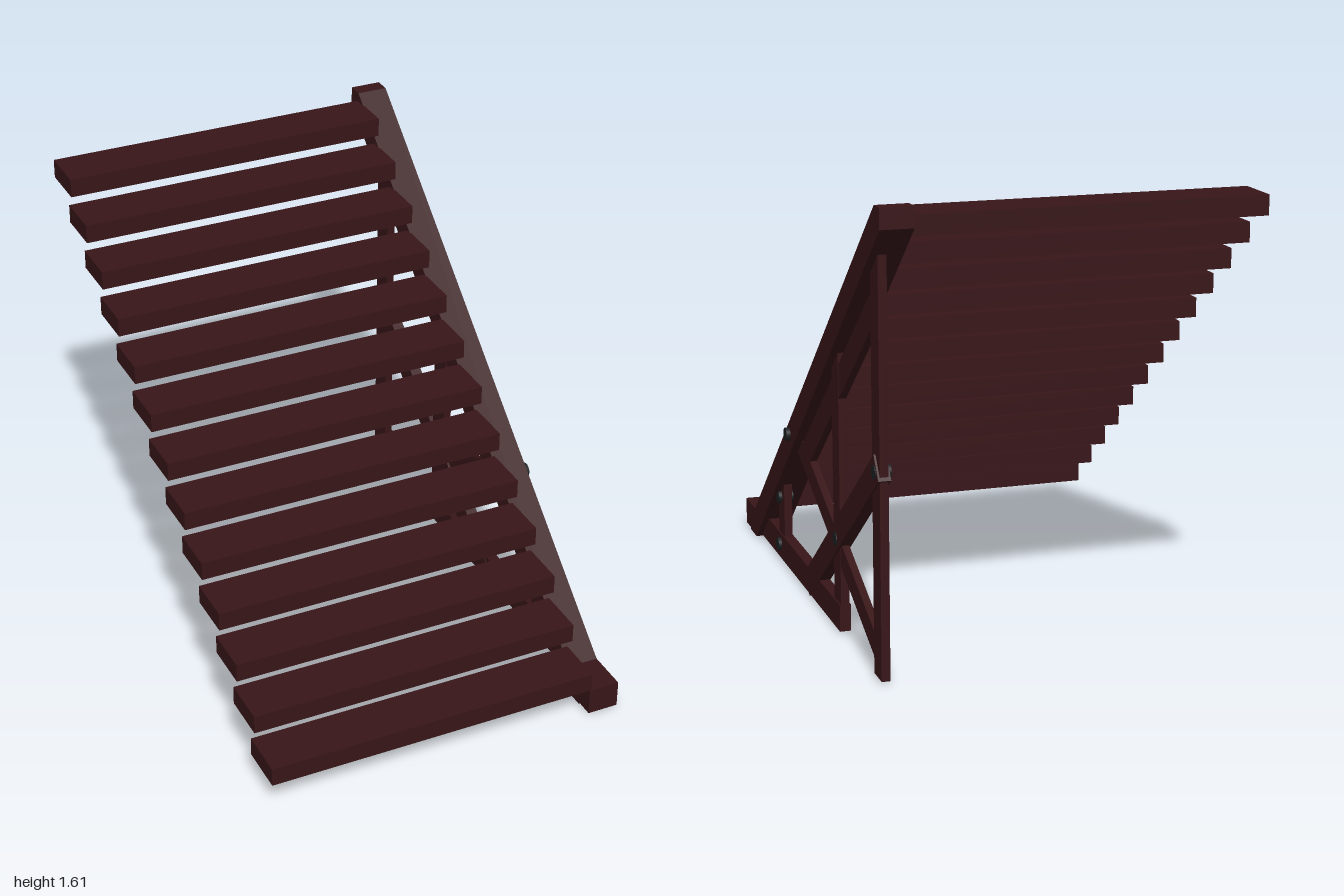
import * as THREE from 'three';

const wood = new THREE.MeshStandardMaterial({ color: 0x381518, flatShading: true });
const iron = new THREE.MeshStandardMaterial({ color: 0x1c2022 });

export function createModel() {
  const model = new THREE.Group();
  model.name = 'slattedStand';

  const add = (name, geometry, material = wood) => {
    const mesh = new THREE.Mesh(geometry, material);
    mesh.name = name;
    model.add(mesh);
    return mesh;
  };

  // Upright box given by its limits on each axis
  const box = (name, [x0, x1], [y0, y1], [z0, z1]) =>
    add(name, new THREE.BoxGeometry(x1 - x0, y1 - y0, z1 - z0))
      .position.set((x0 + x1) / 2, (y0 + y1) / 2, (z0 + z1) / 2);

  // Slanted plank between two [z, y] points
  const brace = (name, [x0, x1], [za, ya], [zb, yb], width) => {
    const mesh = add(name, new THREE.BoxGeometry(x1 - x0, width, Math.hypot(zb - za, yb - ya)));
    mesh.position.set((x0 + x1) / 2, (ya + yb) / 2, (za + zb) / 2);
    mesh.rotation.x = Math.atan2(yb - ya, za - zb);
  };

  // Stepped seat boards
  for (let i = 0; i < 13; i++) {
    const y = 0.11 + i * 0.1162, z = 1 - i * 0.1475;
    box('board', [-0.68, 0.552], [y, y + 0.07], [z - 0.18, z]);
  }

  // Sloping side beam with ends cut level and plumb
  const profile = [[0.83, 0], [0.93, 0], [0.93, 0.038], [-0.94, 1.61], [-1, 1.61], [-1, 1.54]];
  const shape = new THREE.Shape(profile.map(([z, y]) => new THREE.Vector2(-z, y)));
  const beam = new THREE.ExtrudeGeometry(shape, { depth: 0.115, bevelEnabled: false });
  beam.rotateY(Math.PI / 2);
  add('sideBeam', beam).position.x = 0.547;

  // Foot block and ground rail
  box('footBlock', [0.547, 0.662], [0.008, 0.108], [0.82, 1]);
  box('groundRail', [0.6, 0.64], [0.008, 0.105], [-0.365, 0.85]);

  // Posts under the side beam
  const postX = [0.605, 0.635];
  box('backPost', postX, [0.008, 1.46], [-0.88, -0.79]);
  box('middlePost', postX, [0.008, 1.03], [-0.365, -0.277]);
  box('frontPost', postX, [0.06, 0.35], [0.46, 0.55]);

  // Diagonal braces
  brace('fallingBrace', [0.607, 0.633], [0.28, 0.56], [-0.83, 0.09], 0.082);
  brace('risingBrace', [0.598, 0.642], [0.09, 0.04], [-0.86, 0.735], 0.095);
  brace('upperBrace', [0.607, 0.633], [0.165, 0.485], [-0.83, 1.275], 0.095);

  // Bolts, each [z, y, inner x, outer x]
  const bolts = [
    [0.25, 0.565, 0.6, 0.677], [0.515, 0.25, 0.592, 0.648], [0.515, 0.063, 0.588, 0.652],
    [-0.325, 0.335, 0.588, 0.645], [-0.835, 0.715, 0.588, 0.645],
  ];
  for (const [z, y, x0, x1] of bolts) {
    const geometry = new THREE.CylinderGeometry(0.025, 0.025, x1 - x0, 12);
    geometry.rotateZ(Math.PI / 2);
    add('bolt', geometry, iron).position.set((x0 + x1) / 2, y, z);
  }

  return model;
}
